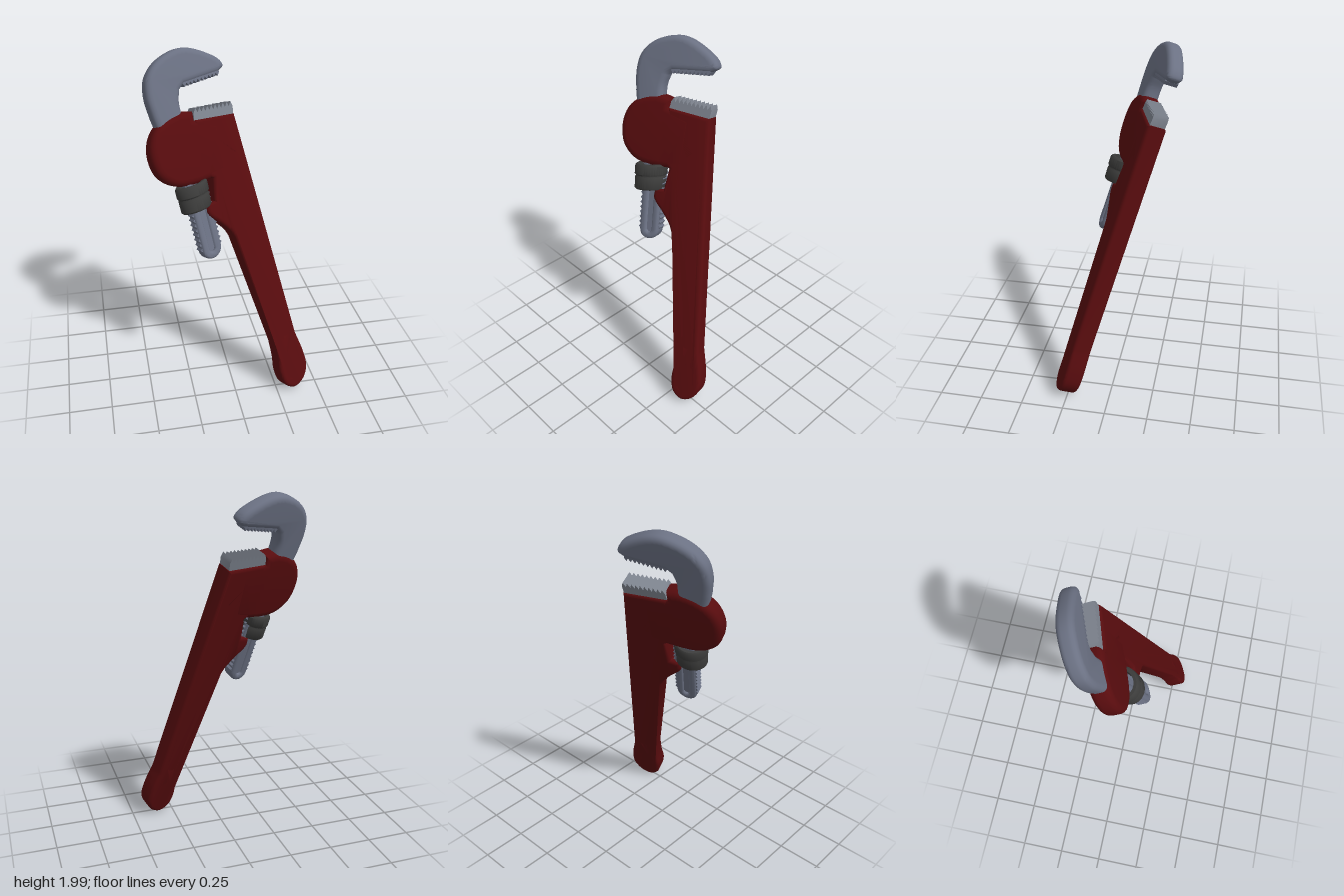
import * as THREE from 'three';
import { toCreasedNormals } from 'three/addons/utils/BufferGeometryUtils.js';

const material = (name, color) => new THREE.MeshStandardMaterial({ name, color });

// Outlines are drawn in x, y; this matrix lays them on the leaning plane of the tool.
const SLOPE_X = -0.33, SLOPE_Y = -0.364, OFFSET_Z = 0.396;
const n = new THREE.Vector3(-SLOPE_X, -SLOPE_Y, 1).normalize();
const LEAN = new THREE.Matrix4().set(
  1, 0, n.x, 0,
  0, 1, n.y, 0,
  SLOPE_X, SLOPE_Y, n.z, OFFSET_Z,
  0, 0, 0, 1);

const v2 = ([x, y]) => new THREE.Vector2(x, y);

// Joins runs of points; runs of three or more become smooth curves.
function outline(...runs) {
  const points = [];
  for (const run of runs) {
    if (run.length < 3) points.push(...run.map(v2));
    else {
      const curve = new THREE.CatmullRomCurve3(run.map(([x, y]) => new THREE.Vector3(x, y, 0)));
      points.push(...curve.getPoints(run.length * 5).map(p => new THREE.Vector2(p.x, p.y)));
    }
  }
  return points;
}

// Long round-ended slot between two points, tapering from radius ra to rb.
function capsule([ax, ay], [bx, by], ra, rb = ra, steps = 10) {
  const dir = Math.atan2(by - ay, bx - ax);
  const points = [];
  for (const [x, y, r, start] of [[bx, by, rb, dir - Math.PI / 2], [ax, ay, ra, dir + Math.PI / 2]]) {
    for (let i = 0; i <= steps; i++) {
      const t = start + Math.PI * i / steps;
      points.push(new THREE.Vector2(x + r * Math.cos(t), y + r * Math.sin(t)));
    }
  }
  return points;
}

// Row of sharp teeth from a to b, rising to the left of that direction.
function teeth([ax, ay], [bx, by], count, height) {
  const dx = bx - ax, dy = by - ay, len = Math.hypot(dx, dy);
  const points = [];
  for (let i = 0; i <= count * 2; i++) {
    const t = i / (count * 2), h = i % 2 ? height : 0;
    points.push(new THREE.Vector2(ax + dx * t - dy / len * h, ay + dy * t + dx / len * h));
  }
  return points;
}

// Plate of a given thickness, centred on the plane, with rounded edges.
// Holes widen by the rounding towards both faces.
function plate(points, thickness, round = 0, holes = []) {
  const shape = new THREE.Shape(points);
  shape.holes = holes.map(h => new THREE.Path(h));
  const geometry = new THREE.ExtrudeGeometry(shape, {
    depth: thickness - 2 * round, bevelEnabled: round > 0, bevelThickness: round,
    bevelSize: round, bevelOffset: -round, bevelSegments: 4, steps: 1,
  });
  return geometry.translate(0, 0, round - thickness / 2);
}

export function createModel() {
  const red = material('red paint', 0x580c0e);
  const steel = material('blue grey steel', 0x6b7183);
  const jawSteel = material('light jaw steel', 0x7e848f);
  const dark = material('dark nut steel', 0x3c3c3b);

  const wrench = new THREE.Group();
  wrench.name = 'pipeWrench';
  const add = (name, geometry, mat) => {
    const mesh = new THREE.Mesh(toCreasedNormals(geometry.applyMatrix4(LEAN), 0.7), mat);
    mesh.name = name;
    wrench.add(mesh);
  };

  // Handle with a groove on both faces, a hanging hole and a nut bracket
  const grooveTop = [0.035, 1.38], grooveEnd = [0.289, 0.37];
  const handle = outline(
    [[-0.18, 1.625], [0.056, 1.62]],
    [[0.364, 0.335], [0.415, 0.2], [0.43, 0.11], [0.402, 0.045], [0.345, 0.015],
      [0.285, 0.045], [0.252, 0.125], [0.245, 0.21], [0.228, 0.31]],
    [[0.015, 0.97], [-0.01, 1.01], [-0.065, 1.065], [-0.135, 1.13], [-0.142, 1.18]],
    [[-0.092, 1.19], [-0.092, 1.31]],
    [[-0.18, 1.36]]);
  add('handle', plate(handle, 0.11, 0.02, [
    capsule(grooveTop, grooveEnd, 0.024, 0.01),
    capsule([0.322, 0.195], [0.348, 0.115], 0.028),
  ]), red);
  add('handleGrooveFloor', plate(capsule(grooveTop, grooveEnd, 0.034, 0.02), 0.074), red);

  // Rounded housing around the sliding jaw, flush with the handle faces
  const housing = outline(
    [[-0.03, 1.6], [-0.175, 1.63]],
    [[-0.18, 1.67], [-0.255, 1.678], [-0.35, 1.648], [-0.41, 1.59], [-0.432, 1.5],
      [-0.4, 1.385], [-0.335, 1.325], [-0.27, 1.302], [-0.18, 1.3], [-0.1, 1.31]],
    [[0.0, 1.33]]);
  add('jawHousing', plate(housing, 0.112, 0.036), red);

  // Hook jaw with its shank
  const hook = outline(
    [[-0.33, 1.42], [-0.375, 1.6]],
    [[-0.4, 1.67], [-0.425, 1.775], [-0.419, 1.865], [-0.362, 1.94], [-0.255, 1.987],
      [-0.18, 1.987], [-0.07, 1.947], [0.0, 1.903], [0.017, 1.87], [-0.015, 1.842]],
    [[-0.215, 1.813]],
    [[-0.24, 1.79], [-0.248, 1.73], [-0.235, 1.65]],
    [[-0.19, 1.42]]);
  add('hookJaw', plate(hook, 0.092, 0.03), steel);
  add('hookTeeth', plate([
    ...teeth([-0.012, 1.844], [-0.225, 1.814], 10, 0.018), v2([-0.22, 1.86]), v2([-0.03, 1.88]),
  ], 0.074), steel);

  // Toothed lower jaw
  add('lowerJaw', plate([
    v2([0.052, 1.56]), v2([-0.18, 1.56]),
    ...teeth([-0.178, 1.66], [0.052, 1.66], 10, 0.024),
  ], 0.085), jawSteel);

  // Adjusting screw: grooved bar with thread teeth along both edges
  const top = [-0.205, 1.38], end = [-0.122, 0.944];
  add('screwBar', plate(capsule(top, end, 0.056), 0.08, 0.016, [capsule(top, end, 0.014)]), steel);
  add('screwGrooveFloor', plate(capsule(top, end, 0.03), 0.05), steel);
  const side = (p, s) => [p[0] + 0.051 * s, p[1] + 0.01 * s];
  add('screwThread', plate([
    ...teeth(side(end, 1), side(top, 1), 16, -0.013),
    ...teeth(side(top, -1), side(end, -1), 16, -0.013),
  ], 0.058), steel);

  // Adjusting nut around the screw, with a raised upper band
  const profile = [[0.056, -0.072], [0.076, -0.072], [0.083, -0.064], [0.084, -0.004],
    [0.081, 0.002], [0.081, 0.006], [0.088, 0.014], [0.088, 0.06], [0.08, 0.07],
    [0.064, 0.07], [0.06, 0.05], [0.056, -0.072]];
  const nut = new THREE.LatheGeometry(profile.map(v2), 40);
  nut.rotateZ(0.18).translate(-0.2, 1.238, 0.012);
  add('adjustingNut', nut, dark);

  return wrench;
}
